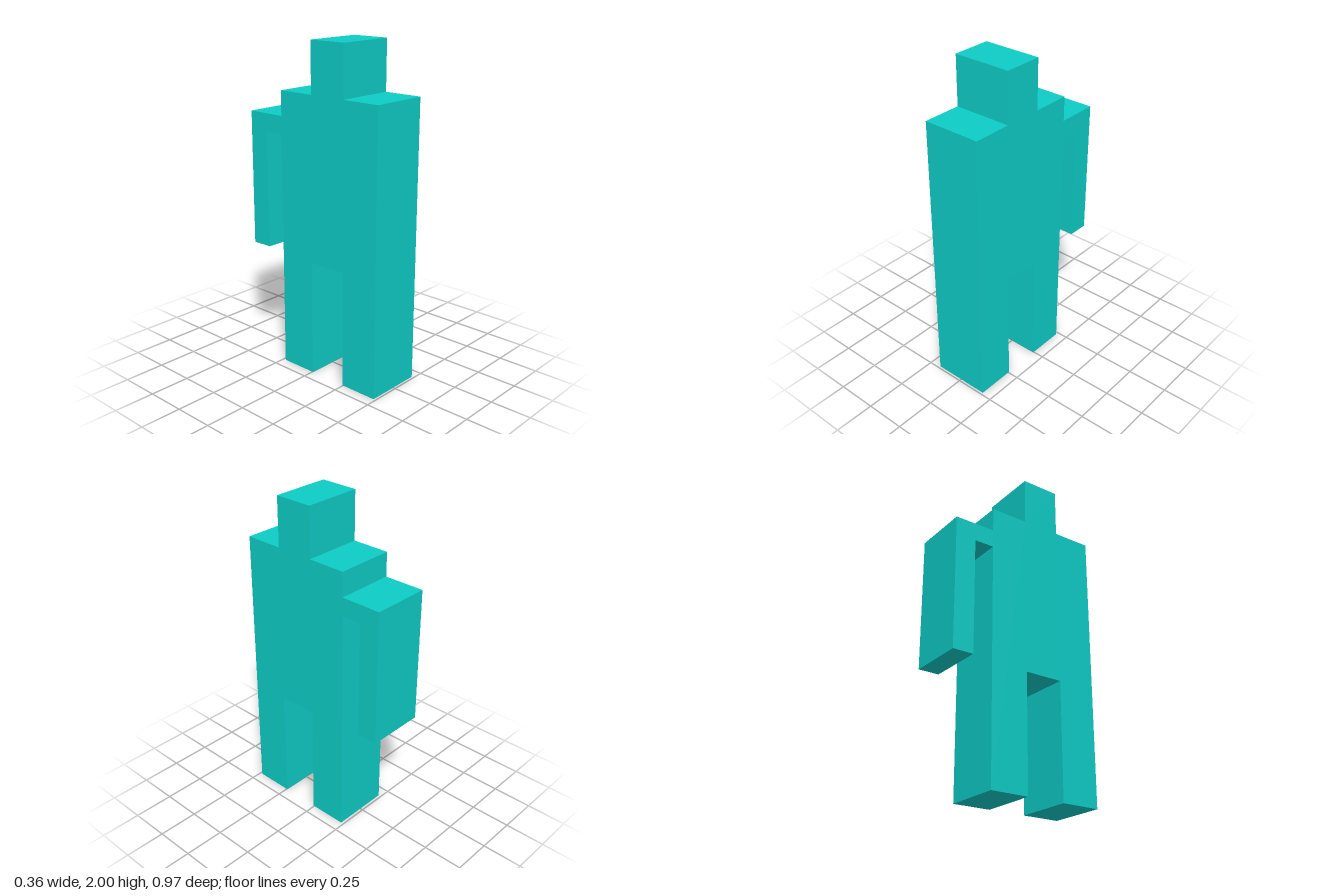
import * as THREE from 'three';

const WIDTH = 0.36;

// Extrudes a [z, y] outline across the full width in x.
function slab(name, outline, material) {
  const shape = new THREE.Shape(outline.map(([z, y]) => new THREE.Vector2(-z, y)));
  const geometry = new THREE.ExtrudeGeometry(shape, { depth: WIDTH, bevelEnabled: false });
  geometry.translate(0, 0, -WIDTH / 2);
  geometry.rotateY(Math.PI / 2);
  const mesh = new THREE.Mesh(geometry, material);
  mesh.name = name;
  return mesh;
}

export function createModel() {
  const turquoise = new THREE.MeshStandardMaterial({ color: 0x0ecbc5 });
  turquoise.name = 'turquoise';

  const front = 0.485, back = -0.232;        // torso depth
  const innerFront = 0.245, innerBack = 0.005; // leg gap and head depth
  const shoulder = 1.7, hip = 0.71;

  const group = new THREE.Group();
  group.name = 'blockFigure';

  // Torso, head and two legs as one silhouette
  group.add(slab('body', [
    [front, 0], [innerFront, 0], [innerFront, hip], [innerBack, hip],
    [innerBack, 0], [back, 0], [back, shoulder], [innerBack, shoulder],
    [innerBack, 2], [innerFront, 2], [innerFront, shoulder], [front, shoulder],
  ], turquoise));

  // Bent arm hanging behind the torso
  const armBack = -0.485, armInner = -0.355;
  group.add(slab('arm', [
    [back, 1.44], [armInner, 1.44], [armInner, 0.727],
    [armBack, 0.727], [armBack, 1.552], [back, 1.552],
  ], turquoise));

  return group;
}
